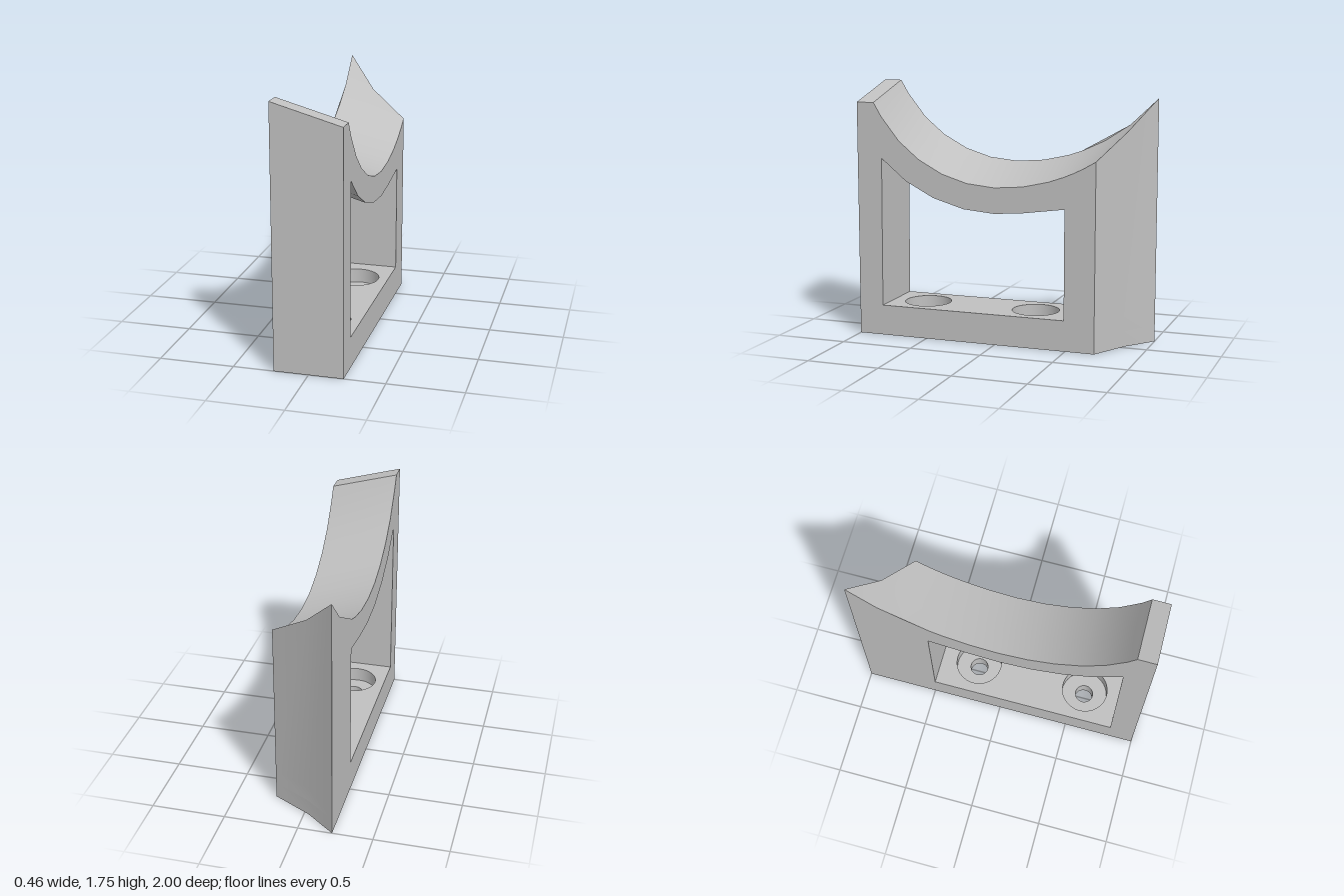
import * as THREE from 'three';
import { toCreasedNormals } from 'three/addons/utils/BufferGeometryUtils.js';

const HALF = 0.23;          // half width in x
const BEND = -0.03;         // x where the rear face bends
const SLOPE = 0.13 / 0.46;  // sideways tilt of the saddle
const FLOOR = 0.21, BORE_FLOOR = 0.11;
const FRONT_R = 0.97, BACK_R = 1.32;

// height of the saddle at x = HALF
const saddleY = (z) => {
  const r = z > 0 ? FRONT_R : BACK_R;
  return 1.075 + r - Math.sqrt(r * r - z * z);
};

// rear face: z for each x
const rearZ = (x) => x > BEND
  ? THREE.MathUtils.mapLinear(x, HALF, BEND, -0.7, -0.84)
  : THREE.MathUtils.mapLinear(x, BEND, -HALF, -0.84, -1);

// posts and saddle, drawn as a side profile of [z, y] and swept across x
function frameGeometry() {
  const pts = [[1, FLOOR], [1, 1.62], [0.875, 1.62]];
  for (const z of [0.82, 0.69, 0.545, 0.375, 0.195, 0, -0.2, -0.38, -0.49, -0.55, -0.62, -0.7]) {
    pts.push([z, saddleY(z)]);
  }
  pts.push([-0.7, FLOOR], [-0.49, FLOOR], [-0.49, 0.955], [-0.2, 0.915], [0, 0.9],
    [0.22, 0.92], [0.44, 0.985], [0.64, 1.09], [0.82, 1.24], [0.827, FLOOR]);
  const shape = new THREE.Shape(pts.map(([z, y]) => new THREE.Vector2(-z, y)));
  const geo = new THREE.ExtrudeGeometry(shape, { depth: 2 * HALF, steps: 2, bevelEnabled: false });
  geo.rotateY(Math.PI / 2).translate(-HALF, 0, 0);

  // stretch the rear post to the slanted back, then tilt everything above the floor
  const p = geo.attributes.position;
  for (let i = 0; i < p.count; i++) {
    let x = p.getX(i), y = p.getY(i), z = p.getZ(i);
    if (Math.abs(x) < 0.01) x = BEND;
    if (z < -0.495) {
      z = THREE.MathUtils.mapLinear(z, -0.49, -0.7, -0.49, rearZ(x));
      if (y > 0.5) y = saddleY(z);
    }
    if (y > 0.5) y += SLOPE * (HALF - x);
    p.setXYZ(i, x, y, z);
  }
  return toCreasedNormals(geo, 0.5);
}

// one layer of the base, with two round holes
function baseLayer(y0, y1, radius) {
  const outline = [[HALF, 1], [HALF, -0.7], [BEND, -0.84], [-HALF, -1], [-HALF, 1]];
  const shape = new THREE.Shape(outline.map(([x, z]) => new THREE.Vector2(x, -z)));
  for (const z of [0.58, -0.22]) {
    shape.holes.push(new THREE.Path().absarc(0, -z, radius, 0, Math.PI * 2, true));
  }
  const geo = new THREE.ExtrudeGeometry(shape, { depth: y1 - y0, bevelEnabled: false, curveSegments: 32 });
  geo.rotateX(-Math.PI / 2).translate(0, y0, 0);
  return toCreasedNormals(geo, 0.5);
}

export function createModel() {
  const grey = new THREE.MeshStandardMaterial({ color: 0xc0c0c0 });
  grey.name = 'light grey';
  const group = new THREE.Group();
  group.name = 'saddleBracket';
  const add = (name, geo) => {
    const mesh = new THREE.Mesh(geo, grey);
    mesh.name = name;
    group.add(mesh);
  };
  add('saddleFrame', frameGeometry());
  add('baseWithScrewHoles', baseLayer(0, BORE_FLOOR, 0.063));
  add('baseWithCounterbores', baseLayer(BORE_FLOOR, FLOOR, 0.163));
  return group;
}
